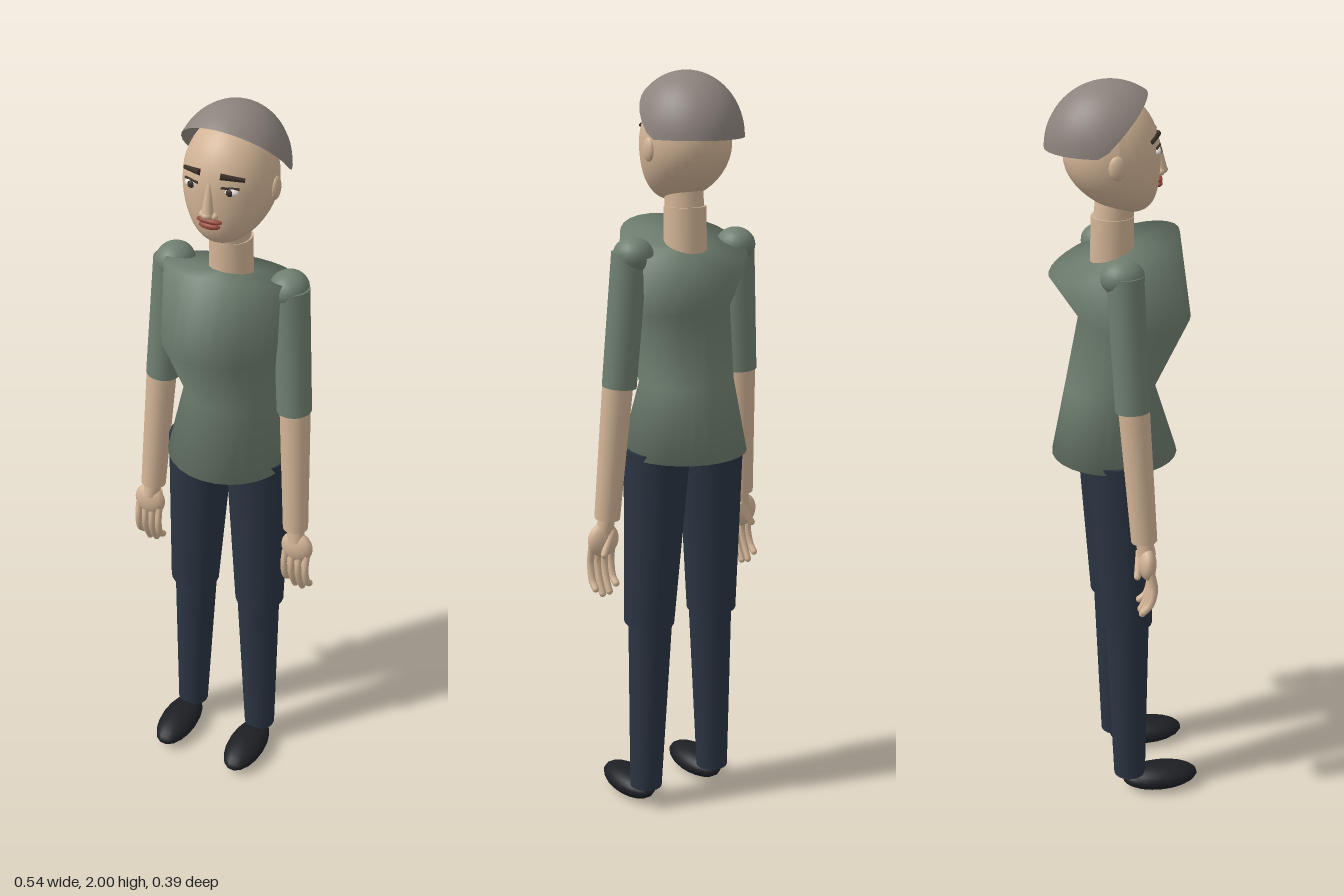
import * as THREE from 'three';

const mat = (color, side = THREE.FrontSide) => new THREE.MeshStandardMaterial({ color, side });
const skin = mat(0xd2b496), shirt = mat(0x6f7f70), trousers = mat(0x2a3442), leather = mat(0x1d1f24);
const hairMat = mat(0x8c837d, THREE.DoubleSide), lipMat = mat(0x96473a), white = mat(0xe8e2da), dark = mat(0x3a2f28);

const V = (x, y, z) => new THREE.Vector3(x, y, z);

function add(parent, name, geometry, material) {
  const mesh = new THREE.Mesh(geometry, material);
  mesh.name = name;
  parent.add(mesh);
  return mesh;
}

// Ellipsoid with centre c and radii r
function ball(parent, name, material, c, r, seg = 20) {
  const g = new THREE.SphereGeometry(1, seg, Math.ceil(seg * 0.7));
  g.scale(...r).translate(...c);
  return add(parent, name, g, material);
}

// Tapered cylinder running from a (radius ra) to b (radius rb)
function limb(parent, name, material, a, ra, b, rb, seg = 20) {
  const dir = V(...b).sub(V(...a));
  const g = new THREE.CylinderGeometry(rb, ra, dir.length(), seg);
  g.applyQuaternion(new THREE.Quaternion().setFromUnitVectors(V(0, 1, 0), dir.clone().normalize()));
  g.translate(a[0] + dir.x / 2, a[1] + dir.y / 2, a[2] + dir.z / 2);
  return add(parent, name, g, material);
}

// Closed loft through elliptical rings [y, halfWidth, zBack, zFront, tilt]
function loft(rings, seg) {
  const pos = [], idx = [];
  const all = [[rings[0], 0], ...rings.map(r => [r, 1]), [rings.at(-1), 0]];
  for (const [[y, w, zb, zf, tilt], k] of all) {
    for (let i = 0; i < seg; i++) {
      const a = (i / seg) * Math.PI * 2, d = k * Math.cos(a) * (zf - zb) / 2;
      pos.push(k * w * Math.sin(a), y + tilt * d, (zf + zb) / 2 + d);
    }
  }
  for (let j = 0; j < all.length - 1; j++) {
    for (let i = 0; i < seg; i++) {
      const a = j * seg + i, b = j * seg + (i + 1) % seg;
      idx.push(a, b, b + seg, a, b + seg, a + seg);
    }
  }
  const g = new THREE.BufferGeometry();
  g.setAttribute('position', new THREE.Float32BufferAttribute(pos, 3));
  g.setIndex(idx);
  g.computeVertexNormals();
  return g;
}

// Head: ellipsoid whose lower half slides forward to form the chin
function headGeometry() {
  const g = new THREE.SphereGeometry(1, 32, 24).scale(0.115, 0.147, 0.12);
  const p = g.attributes.position;
  for (let i = 0; i < p.count; i++) {
    const k = Math.max(0, -p.getY(i) / 0.147);
    p.setZ(i, p.getZ(i) + 0.05 * k * k);
  }
  g.translate(0, 1.822, -0.03);
  g.computeVertexNormals();
  return g;
}

// Hair: dome trimmed by a slanted plane at the front and a level edge behind
function hairGeometry() {
  const g = new THREE.SphereGeometry(1, 40, 16, 0, Math.PI * 2, 0, Math.PI / 2);
  const p = g.attributes.position, uv = g.attributes.uv;
  for (let i = 0; i < p.count; i++) {
    const phi = uv.getX(i) * Math.PI * 2, d = Math.cos(phi);
    const edge = Math.min(Math.PI / 2, Math.acos(0.25 / Math.hypot(1, d)) - Math.atan(d));
    const t = (1 - uv.getY(i)) * edge;
    // negative sine keeps the winding facing outwards
    p.setXYZ(i, 0.137 * Math.sin(t) * Math.sin(phi), 1.84 + 0.16 * Math.cos(t), -0.035 + 0.16 * Math.sin(t) * d);
  }
  g.computeVertexNormals();
  return g;
}

function buildHead(parent) {
  const head = new THREE.Group();
  head.name = 'head';
  parent.add(head);
  add(head, 'skull', headGeometry(), skin);
  add(head, 'hair', hairGeometry(), hairMat);
  limb(head, 'noseBridge', skin, [0, 1.85, 0.083], 0.006, [0, 1.778, 0.094], 0.015, 12);
  ball(head, 'noseTip', skin, [0, 1.776, 0.096], [0.015, 0.011, 0.015], 12);
  ball(head, 'upperLip', lipMat, [0, 1.756, 0.085], [0.034, 0.008, 0.011], 14);
  ball(head, 'lowerLip', lipMat, [0, 1.743, 0.085], [0.028, 0.009, 0.012], 14);
  for (const s of [1, -1]) {
    ball(head, 'nostril', skin, [s * 0.014, 1.772, 0.088], [0.011, 0.009, 0.012], 10);
    ball(head, 'eye', white, [s * 0.05, 1.836, 0.073], [0.02, 0.011, 0.011], 14);
    ball(head, 'pupil', dark, [s * 0.05, 1.836, 0.081], [0.009, 0.009, 0.005], 12);
    limb(head, 'eyelid', dark, [s * 0.03, 1.846, 0.084], 0.003, [s * 0.07, 1.845, 0.069], 0.003, 8);
    limb(head, 'brow', dark, [s * 0.026, 1.872, 0.08], 0.008, [s * 0.078, 1.863, 0.056], 0.005, 10);
    ball(head, 'ear', skin, [s * 0.113, 1.812, -0.035], [0.011, 0.03, 0.021], 16);
  }
}

function buildArm(parent, s) {
  const arm = new THREE.Group();
  arm.name = s > 0 ? 'leftArm' : 'rightArm';
  parent.add(arm);
  ball(arm, 'shoulder', shirt, [s * 0.157, 1.555, -0.03], [0.05, 0.045, 0.055]);
  limb(arm, 'sleeve', shirt, [s * 0.165, 1.56, -0.025], 0.046, [s * 0.19, 1.217, -0.01], 0.045);
  limb(arm, 'forearm', skin, [s * 0.193, 1.225, -0.008], 0.04, [s * 0.216, 0.86, 0.016], 0.034);
  limb(arm, 'wrist', skin, [s * 0.216, 0.865, 0.016], 0.022, [s * 0.222, 0.82, 0.022], 0.024, 14);
  ball(arm, 'palm', skin, [s * 0.225, 0.8, 0.022], [0.045, 0.047, 0.024]);
  // Four fingers curling backwards
  for (let i = 0; i < 4; i++) {
    const x = s * (0.194 + i * 0.021), tip = [0.675, 0.657, 0.655, 0.672][i];
    const path = new THREE.CatmullRomCurve3([
      V(x, 0.785, 0.028), V(x, 0.735, 0.036), V(x + s * 0.002, 0.69, 0.025), V(x + s * 0.002, tip, 0.008)]);
    add(arm, 'finger', new THREE.TubeGeometry(path, 10, 0.0095, 10), skin);
    ball(arm, 'fingertip', skin, path.getPoint(1).toArray(), [0.0095, 0.0095, 0.0095], 10);
  }
  limb(arm, 'thumb', skin, [s * 0.205, 0.825, 0.008], 0.012, [s * 0.24, 0.768, -0.006], 0.009, 12);
  ball(arm, 'thumbTip', skin, [s * 0.24, 0.768, -0.006], [0.009, 0.009, 0.009], 10);
}

function buildLeg(parent, s) {
  const leg = new THREE.Group();
  leg.name = s > 0 ? 'leftLeg' : 'rightLeg';
  parent.add(leg);
  limb(leg, 'thigh', trousers, [s * 0.085, 1.04, -0.025], 0.088, [s * 0.102, 0.55, -0.008], 0.068, 24);
  limb(leg, 'shin', trousers, [s * 0.098, 0.57, -0.008], 0.06, [s * 0.112, 0.06, -0.002], 0.044, 24);
  ball(leg, 'shoe', leather, [s * 0.113, 0.036, 0.086], [0.054, 0.036, 0.108], 18);
}

export function createModel() {
  const model = new THREE.Group();
  model.name = 'figure';
  // Shirt body, hem to tilted neckline
  add(model, 'shirtBody', loft([
    [1.025, 0.166, -0.19, 0.14, 0],
    [1.215, 0.127, -0.152, 0.08, 0],
    [1.4, 0.152, -0.115, 0.172, 0],
    [1.571, 0.163, -0.19, 0.14, 0.34],
  ], 28), shirt);
  limb(model, 'neck', skin, [0, 1.53, -0.03], 0.056, [0, 1.665, -0.028], 0.054, 24);
  limb(model, 'upperNeck', skin, [0, 1.64, -0.028], 0.05, [0, 1.73, -0.018], 0.05, 24);
  buildHead(model);
  for (const s of [1, -1]) {
    buildArm(model, s);
    buildLeg(model, s);
  }
  return model;
}
